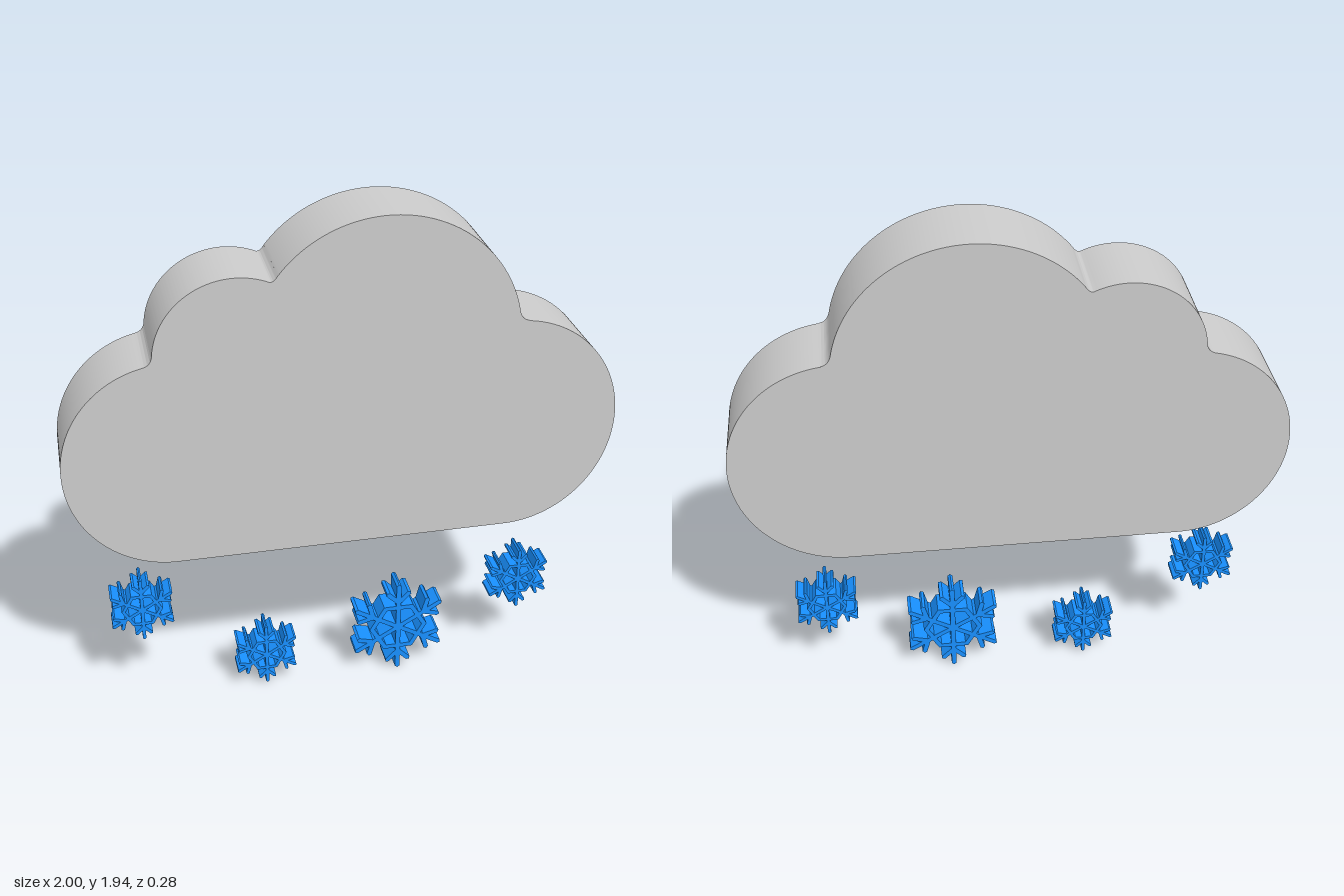
import * as THREE from 'three';
import { toCreasedNormals } from 'three/addons/utils/BufferGeometryUtils.js';

// Extrude a shape between two z planes, keeping only real corners sharp
function slab(shape, zBack, zFront, curveSegments) {
  const geo = new THREE.ExtrudeGeometry(shape, { depth: zFront - zBack, bevelEnabled: false, curveSegments });
  geo.translate(0, 0, zBack);
  return toCreasedNormals(geo, 0.6);
}

// Cloud outline: four lobes joined by small fillets, closed by a flat base
function cloudShape() {
  const s = new THREE.Shape();
  s.absellipse(-0.62, 1.085, 0.38, 0.395, -Math.PI / 2, 1.783, true);
  s.quadraticCurveTo(-0.665, 1.478, -0.663, 1.514);
  s.absarc(-0.38, 1.48, 0.285, 3.02, 1.155, true);
  s.quadraticCurveTo(-0.25, 1.735, -0.235, 1.76);
  s.absarc(0.14, 1.46, 0.48, 2.467, 0.2, true);
  s.quadraticCurveTo(0.62, 1.523, 0.645, 1.519);
  s.absellipse(0.6, 1.105, 0.4, 0.415, 1.458, -Math.PI / 2, true);
  s.closePath();
  return s;
}

// Six-armed snowflake: arms with one V of twigs each, plus a hexagonal ring
function snowflakeShape(R) {
  const w = 0.047;              // half width of every bar
  const outer = 0.5, inner = 0.41; // ring apothems
  const root = 0.58, len = 0.3;    // twig start and length
  const k = Math.SQRT1_2, t30 = Math.tan(Math.PI / 6);
  // Half of an arm, as (distance along, sideways)
  const half = [
    [outer, w],
    [root - 0.414 * w, w],
    [root + (len - w) * k, (len + w) * k],
    [root + (len + 0.8 * w) * k, (len + 0.8 * w) * k],
    [root + (len + w) * k, (len - w) * k],
    [root + 2.414 * w, w],
    [1 - 0.8 * w, w],
  ];
  const arm = [
    [outer, -outer * t30],
    ...half.map(([u, v]) => [u, -v]),
    [1, 0],
    ...half.slice().reverse(),
  ];
  // Gap between two neighbouring arms, inside the ring
  const a = Math.PI / 3, c = Math.cos(a), s = Math.sin(a);
  const gap = [
    [w / t30, w],
    [inner, w],
    [inner, inner * t30],
    [c * inner + s * w, s * inner - c * w],
  ];
  const place = (pts, i) => {
    const q = Math.PI / 2 + i * a;
    return pts.map(([u, v]) => new THREE.Vector2(
      R * (u * Math.cos(q) - v * Math.sin(q)), R * (u * Math.sin(q) + v * Math.cos(q))));
  };
  const outline = [];
  for (let i = 0; i < 6; i++) outline.push(...place(arm, i));
  const shape = new THREE.Shape(outline);
  for (let i = 0; i < 6; i++) shape.holes.push(new THREE.Path(place(gap, i)));
  return shape;
}

export function createModel() {
  const model = new THREE.Group();
  model.name = 'snowCloud';

  const grey = new THREE.MeshStandardMaterial({ color: 0xcccccc });
  const blue = new THREE.MeshStandardMaterial({ color: 0x1890ff });

  const cloud = new THREE.Mesh(slab(cloudShape(), -0.142, 0.142, 48), grey);
  cloud.name = 'cloud';
  model.add(cloud);

  // Falling snowflakes: x, y, radius
  const flakes = [
    [-0.76, 0.43, 0.133],
    [-0.297, 0.147, 0.133],
    [0.227, 0.2, 0.2],
    [0.71, 0.36, 0.133],
  ];
  flakes.forEach(([x, y, r], i) => {
    const flake = new THREE.Mesh(slab(snowflakeShape(r), -0.041, 0.052, 1), blue);
    flake.name = `snowflake${i + 1}`;
    flake.position.set(x, y, 0);
    model.add(flake);
  });
  return model;
}
